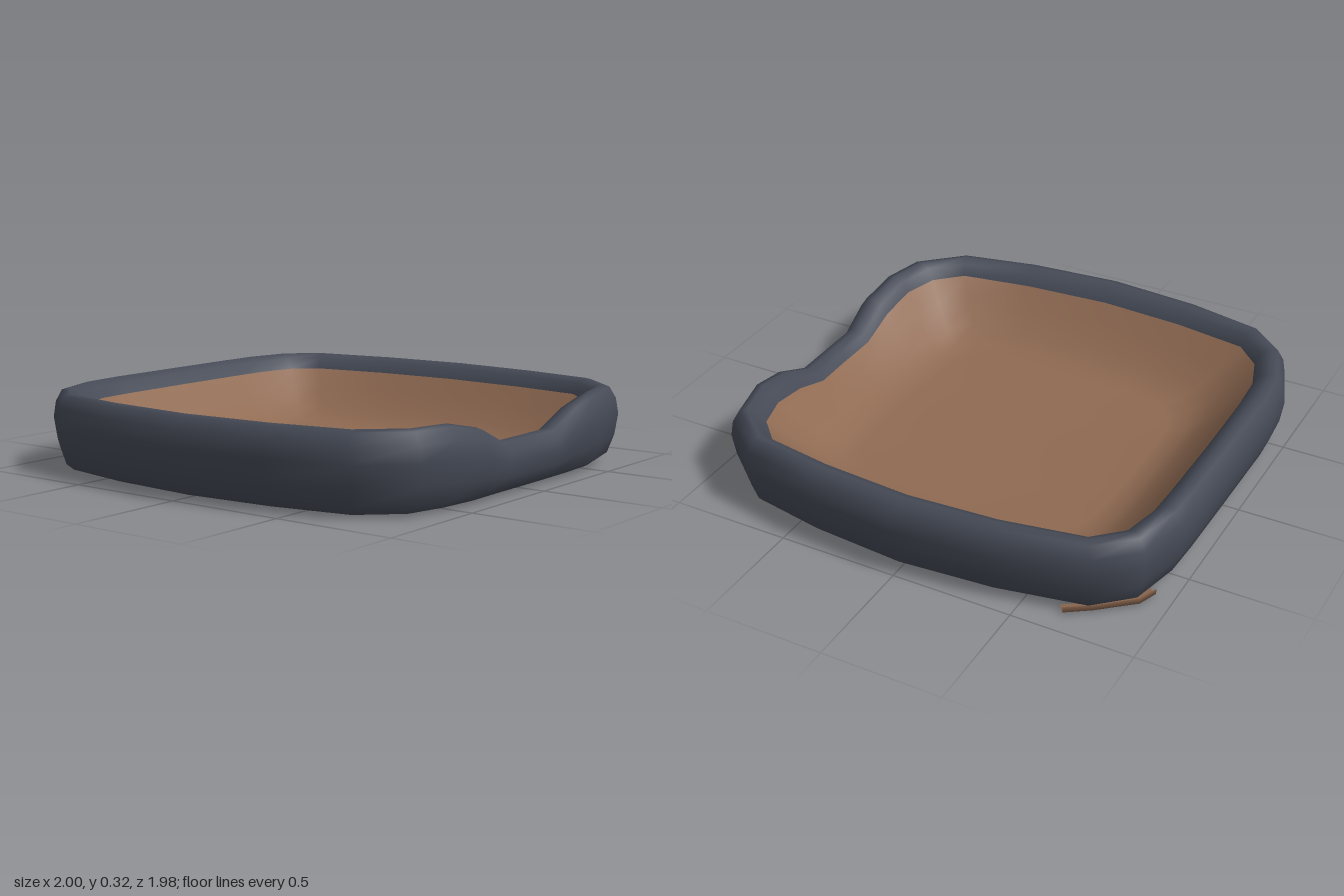
import * as THREE from 'three';

// Plan of the bed, counter-clockwise from the front: outer x, z, then inner rim x, z
const PLAN = [
  [0, 0.965, 0, 0.84], [0.18, 0.965, 0.18, 0.838], [0.35, 0.975, 0.35, 0.835], [0.52, 0.965, 0.52, 0.828],
  [0.74, 0.91, 0.66, 0.79], [0.9, 0.72, 0.78, 0.67], [0.965, 0.4, 0.825, 0.37],
  [1, 0, 0.85, 0], [0.965, -0.4, 0.83, -0.37], [0.89, -0.77, 0.775, -0.7],
  [0.75, -0.925, 0.68, -0.8], [0.52, -0.98, 0.52, -0.835], [0.35, -0.987, 0.35, -0.842],
  [0, -0.99, 0, -0.847], [-0.35, -0.995, -0.35, -0.845], [-0.52, -0.98, -0.52, -0.835],
  [-0.75, -0.895, -0.67, -0.785], [-0.89, -0.73, -0.775, -0.68], [-0.965, -0.4, -0.825, -0.37],
  [-1, 0, -0.85, 0], [-0.965, 0.4, -0.825, 0.37], [-0.89, 0.73, -0.775, 0.68],
  [-0.71, 0.925, -0.67, 0.79], [-0.52, 0.965, -0.52, 0.83], [-0.35, 0.985, -0.35, 0.838], [-0.18, 0.965, -0.18, 0.838],
];

// Height factor of the wall: dips at the front entrance
function dip([x, z]) {
  const a = Math.abs(x);
  if (z < 0.9 || a > 0.5) return 1;
  return a < 0.2 ? 0.66 : 0.89;
}

// Skin closed rings of points, ordered so the outside faces out
function loft(rings) {
  const n = rings[0].length, index = [];
  for (let r = 0; r < rings.length - 1; r++) {
    for (let i = 0; i < n; i++) {
      const j = (i + 1) % n, a = r * n + i, b = r * n + j;
      index.push(a, b, b + n, a, b + n, a + n);
    }
  }
  const geo = new THREE.BufferGeometry();
  geo.setAttribute('position', new THREE.Float32BufferAttribute(rings.flat(2), 3));
  geo.setIndex(index);
  geo.computeVertexNormals();
  return geo;
}

// Ring of the padded wall: t runs from the outer bulge (0) to the inner rim (1)
const wallRing = (t, y) => PLAN.map((p) => [
  THREE.MathUtils.lerp(p[0], p[2], t), y * dip(p), THREE.MathUtils.lerp(p[1], p[3], t),
]);

// Ring of the lining: inner rim shrunk by s, the entrance dip fading by k
const liningRing = (s, y, k) => PLAN.map((p) => [
  p[2] * s, y * THREE.MathUtils.lerp(1, dip(p), k), p[3] * s,
]);

function addMesh(group, name, geometry, color, side = THREE.FrontSide) {
  const mesh = new THREE.Mesh(geometry, new THREE.MeshStandardMaterial({ color, side, roughness: 0.9 }));
  mesh.name = name;
  group.add(mesh);
}

export function createModel() {
  const group = new THREE.Group();
  group.name = 'petBed';
  const dark = 0x454a56, brown = 0x8f6a52;

  // Underside
  const base = PLAN.map((p) => [p[2] * 0.99, 0, p[3] * 0.99]);
  addMesh(group, 'underside', loft([PLAN.map(() => [0, 0, 0]), base, wallRing(0.55, 0.01)]), dark);

  // Padded wall with its rolled rim
  const profile = [
    [0.55, 0.01], [0.3, 0.035], [0.1, 0.11], [0, 0.2], [0.08, 0.265],
    [0.27, 0.312], [0.5, 0.32], [0.8, 0.3], [1, 0.255],
  ];
  addMesh(group, 'paddedWall', loft(profile.map(([t, y]) => wallRing(t, y))), dark);

  // Lining that slopes down to a flat floor
  addMesh(group, 'lining', loft([
    liningRing(1, 0.255, 1), liningRing(0.92, 0.18, 0.9), liningRing(0.82, 0.1, 0.6),
    liningRing(0.73, 0.055, 0.2), liningRing(0.64, 0.04, 0), liningRing(0.3, 0.035, 0), liningRing(0, 0.035, 0),
  ]), brown);

  // Corner of the lining showing at the back base
  const strip = [[0.91, -0.67], [0.845, -0.765], [0.73, -0.9], [0.65, -0.93]];
  const corner = new THREE.BufferGeometry();
  corner.setAttribute('position', new THREE.Float32BufferAttribute(
    strip.flatMap(([x, z]) => [x * 0.95, 0.004, z * 0.95, x, 0.012, z, x, 0.036, z]), 3));
  const index = [];
  for (let i = 0; i < 3; i++) {
    for (let k = 0; k < 2; k++) {
      const a = i * 3 + k;
      index.push(a, a + 3, a + 4, a, a + 4, a + 1);
    }
  }
  corner.setIndex(index);
  corner.computeVertexNormals();
  addMesh(group, 'liningCorner', corner, brown, THREE.DoubleSide);

  return group;
}
